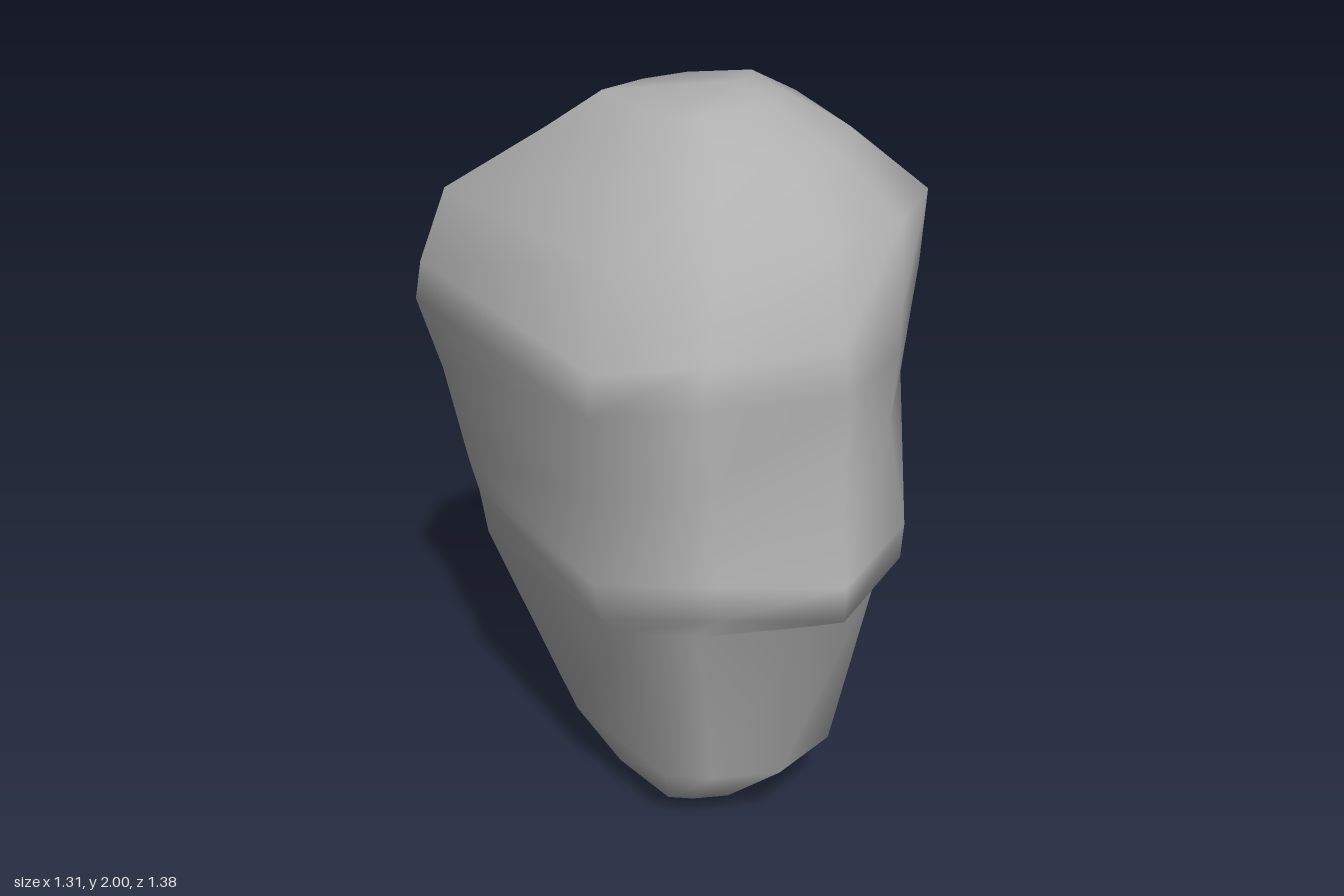
import * as THREE from 'three';

// Plan outlines in a unit box [x, z], starting at the right-hand corner and running round by the front
const OUTLINES = [
  // tapered foot
  [[-1, 0.05], [-0.3, 0.96], [0.05, 1], [0.55, 0.92], [0.94, 0.45], [1, -0.1], [0.72, -1], [-0.1, -0.9], [-0.6, -0.55]],
  // overhanging ledge
  [[-1, 0.03], [-0.36, 0.98], [0.15, 1], [0.7, 1], [1, 0.55], [0.97, -0.1], [0.77, -1], [-0.06, -0.8], [-0.62, -0.56]],
  // broad middle
  [[-1, -0.03], [-0.26, 1], [0.15, 0.94], [0.68, 0.81], [0.9, 0.45], [1, 0], [0.75, -1], [0, -0.78], [-0.53, -0.52]],
  // rounded crown
  [[-1, -0.1], [-0.3, 1], [0.12, 0.92], [0.55, 0.7], [0.85, 0.38], [1, -0.1], [0.68, -0.97], [-0.05, -0.87], [-0.55, -0.57]],
];

// Levels: height, x min, x max, z min, z max, outline blend (0 foot, 1 ledge, 2 middle, 3 crown)
const LEVELS = [
  [0, 0.03, 0.15, 0.05, 0.25, 0],
  [0.08, -0.14, 0.25, 0, 0.36, 0],
  [0.26, -0.26, 0.455, -0.165, 0.5, 0],
  [0.77, -0.495, 0.575, -0.49, 0.59, 0],
  [0.87, -0.52, 0.59, -0.66, 0.67, 1],
  [0.97, -0.545, 0.595, -0.67, 0.675, 1],
  [1.22, -0.605, 0.61, -0.69, 0.69, 2],
  [1.43, -0.66, 0.625, -0.64, 0.69, 2],
  [1.54, -0.64, 0.635, -0.59, 0.69, 2.3],
  [1.73, -0.57, 0.65, -0.45, 0.53, 2.9],
  [1.89, -0.31, 0.45, -0.32, 0.38, 3],
  [1.97, -0.17, 0.28, -0.23, 0.17, 3],
];

// Fit the blended outline into the level's extents
function ring([y, x0, x1, z0, z1, blend]) {
  const k = Math.min(2, Math.floor(blend));
  const t = blend - k;
  return OUTLINES[k].map(([ax, az], j) => {
    const [bx, bz] = OUTLINES[k + 1][j];
    const u = (THREE.MathUtils.lerp(ax, bx, t) + 1) / 2;
    const v = (THREE.MathUtils.lerp(az, bz, t) + 1) / 2;
    return [THREE.MathUtils.lerp(x0, x1, u), y, THREE.MathUtils.lerp(z0, z1, v)];
  });
}

function boulderGeometry() {
  const n = OUTLINES[0].length;
  const points = LEVELS.flatMap(ring);
  const bottom = points.push([0.09, 0, 0.15]) - 1;
  const top = points.push([0.18, 2, -0.03]) - 1;
  const last = (LEVELS.length - 1) * n;
  const index = [];
  for (let j = 0; j < n; j++) {
    const next = (j + 1) % n;
    // side skin
    for (let i = 0; i < last; i += n) {
      const a = i + j, b = i + next, c = b + n, d = a + n;
      index.push(a, b, c, a, c, d);
    }
    // underside and crown
    index.push(bottom, next, j, top, last + j, last + next);
  }
  const geometry = new THREE.BufferGeometry();
  geometry.setAttribute('position', new THREE.Float32BufferAttribute(points.flat(), 3));
  geometry.setIndex(index);
  geometry.computeVertexNormals();
  return geometry;
}

export function createModel() {
  const stone = new THREE.MeshStandardMaterial({ color: 0xb0b0b0 });
  stone.name = 'stone grey';
  const boulder = new THREE.Mesh(boulderGeometry(), stone);
  boulder.name = 'boulder';
  const model = new THREE.Group();
  model.name = 'rock';
  model.add(boulder);
  return model;
}
